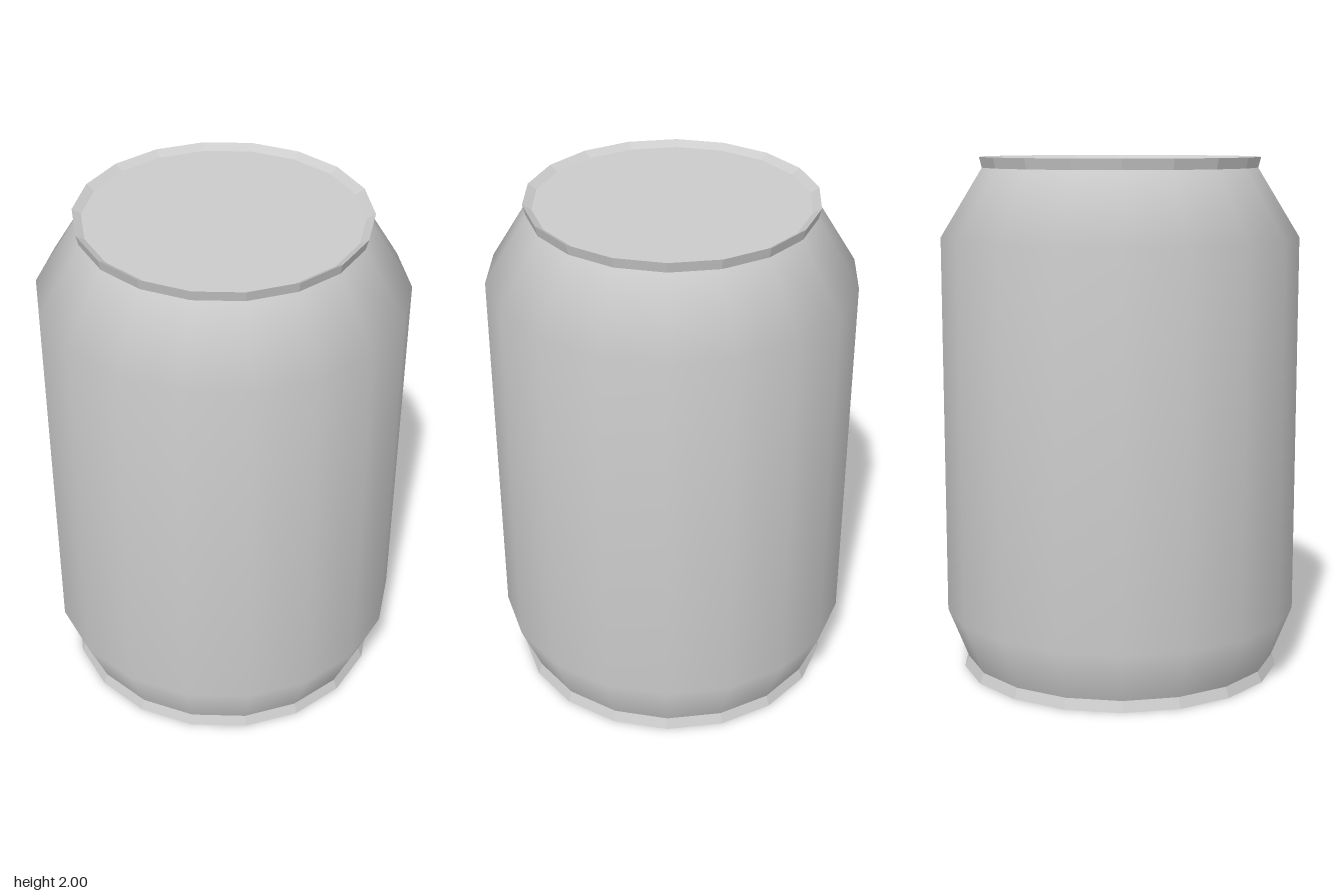
import * as THREE from 'three';

const SIDES = 18;

export function createModel() {
  const can = new THREE.Group();
  can.name = 'can';
  const smooth = new THREE.MeshStandardMaterial({ color: 0xcccccc });
  const flat = new THREE.MeshStandardMaterial({ color: 0xcccccc, flatShading: true });

  const add = (name, geometry, material) => {
    const mesh = new THREE.Mesh(geometry, material);
    mesh.name = name;
    can.add(mesh);
    return mesh;
  };
  // Turned part from [radius, height] pairs, with a corner on the x axis
  const turn = (name, profile, material) => add(name, new THREE.LatheGeometry(
    profile.map(([r, y]) => new THREE.Vector2(r, y)), SIDES, Math.PI / 2), material);
  // Flat end panel facing up (1) or down (-1)
  const disc = (name, radius, y, facing) => {
    const mesh = add(name, new THREE.CircleGeometry(radius, SIDES), flat);
    mesh.rotation.x = -facing * Math.PI / 2;
    mesh.position.y = y;
  };

  // Wall with tapered foot and shoulder
  turn('body', [[0.61, 0.04], [0.69, 0.24], [0.69, 1.7], [0.53, 1.96]], smooth);

  // Flared rims, each turning inward to a shallow recess
  turn('topRim', [[0.53, 1.96], [0.54, 2], [0.508, 1.98]], flat);
  turn('bottomRim', [[0.605, 0.03], [0.627, 0], [0.61, 0.04]], flat);

  // Recessed end panels
  disc('lid', 0.508, 1.98, 1);
  disc('base', 0.605, 0.03, -1);
  return can;
}
